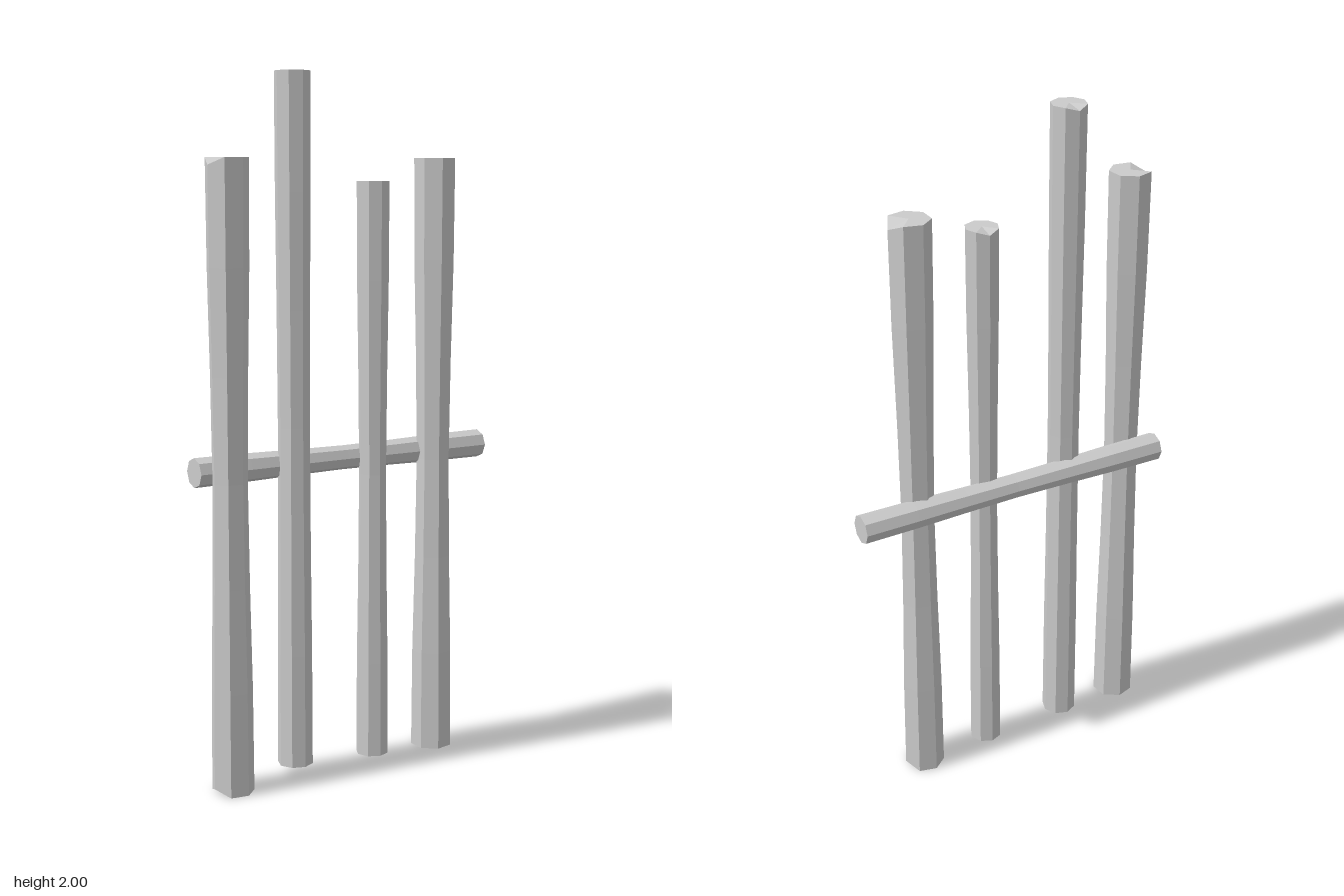
import * as THREE from 'three';

const material = new THREE.MeshStandardMaterial({ color: 0xcccccc, flatShading: true });

// Faceted log along y, pinched to `waist` at mid length. Corners of the end rims
// that point along the `chip` angle are cut short by `cut`.
function logGeometry({ r, length, sides, turn = 0, waist, chip = 0, topCut = 0, bottomCut = 0 }) {
  const g = new THREE.CylinderGeometry(r, r, length, sides, 6, false, turn);
  const p = g.attributes.position;
  const half = length / 2;
  for (let i = 0; i < p.count; i++) {
    const x = p.getX(i), y = p.getY(i), z = p.getZ(i);
    const t = Math.abs(y) / half;
    const s = waist + (1 - waist) * THREE.MathUtils.smoothstep(t, 0, 0.9);
    const isRim = t > 0.99 && Math.hypot(x, z) > r * 0.5;
    const facing = Math.cos(Math.atan2(x, z) - chip);
    const cut = isRim && facing > 0.88 ? (y > 0 ? topCut : bottomCut) : 0;
    p.setXYZ(i, x * s, y - Math.sign(y) * cut, z * s);
  }
  g.computeVertexNormals();
  return g;
}

export function createModel() {
  const model = new THREE.Group();

  // Four upright posts of differing height
  const posts = [
    { name: 'outerRightPost', x: -0.415, z: 0.045, y0: 0, y1: 1.765, r: 0.061, sides: 7,
      turn: Math.PI - 0.1, waist: 0.82, chip: -1.45, topCut: 0.02, bottomCut: 0.018 },
    { name: 'innerRightPost', x: -0.19, z: 0.002, y0: 0.03, y1: 2, r: 0.051, sides: 8,
      turn: 0.1, waist: 0.9, chip: Math.PI, topCut: 0.01 },
    { name: 'innerLeftPost', x: 0.073, z: -0.002, y0: 0.015, y1: 1.7, r: 0.048, sides: 8,
      turn: 0, waist: 0.84, chip: Math.PI, topCut: 0.01 },
    { name: 'outerLeftPost', x: 0.292, z: -0.015, y0: 0, y1: 1.765, r: 0.061, sides: 7,
      turn: Math.PI + 0.24, waist: 0.8, chip: 1.5, topCut: 0.02, bottomCut: 0.015 },
  ];
  for (const post of posts) {
    const mesh = new THREE.Mesh(logGeometry({ ...post, length: post.y1 - post.y0 }), material);
    mesh.name = post.name;
    mesh.position.set(post.x, (post.y0 + post.y1) / 2, post.z);
    model.add(mesh);
  }

  // Crossbar behind the posts, slightly skewed
  const bar = new THREE.Mesh(logGeometry({ r: 0.042, length: 0.975, sides: 8, waist: 0.84 }), material);
  bar.name = 'crossbar';
  bar.position.set(-0.002, 0.905, -0.045);
  bar.rotation.set(0, 0.041, -Math.PI / 2);
  model.add(bar);

  return model;
}
